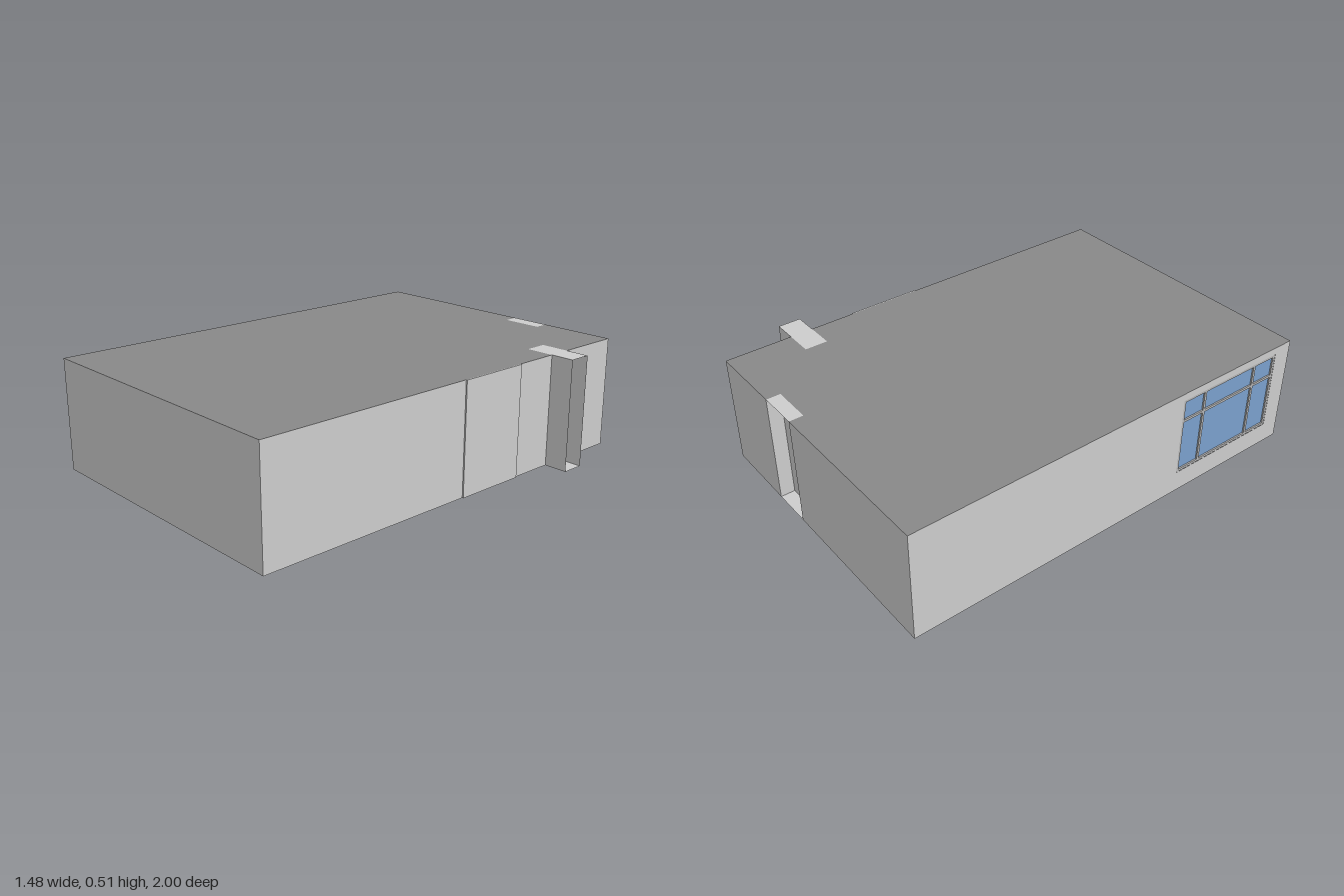
import * as THREE from 'three';

const H = 0.51;                                  // storey height
const W = -0.74, E = 0.63, N = -1, S = 1;        // outer wall lines
const BAY = { x0: 0.5, x1: 0.74, z0: -0.69, z1: -0.585 };
const NICHE = { x0: 0.085, x1: 0.272, z0: -1, z1: -0.935 };
const WIN = { z0: 0.35, z1: 0.91, y0: 0.1, y1: 0.475 };

const mat = (name, color) => {
  const m = new THREE.MeshStandardMaterial({ color, side: THREE.DoubleSide });
  m.name = name;
  return m;
};

export function createModel() {
  const wallMat = mat('wall light grey', 0xcccccc);
  const roofMat = mat('roof grey', 0x888888);
  const floorMat = mat('floor grey', 0x909090);
  const frameMat = mat('window frame grey', 0xb4b4b4);
  const glassMat = mat('glass blue', 0x7a9fcc);

  const model = new THREE.Group();
  model.name = 'building';
  const add = (name, geometry, material, parent = model) => {
    const mesh = new THREE.Mesh(geometry, material);
    mesh.name = name;
    parent.add(mesh);
    return mesh;
  };
  const polygon = pts => new THREE.Shape(pts.map(p => new THREE.Vector2(...p)));
  const rect = (a0, b0, a1, b1) => polygon([[a0, b0], [a1, b0], [a1, b1], [a0, b1]]);

  // Horizontal slab drawn in x and z
  const slab = (name, shape, y, material) =>
    add(name, new THREE.ShapeGeometry(shape).rotateX(Math.PI / 2).translate(0, y, 0), material);

  // Upright wall between two plan points
  const wall = (name, [ax, az], [bx, bz]) => {
    const g = new THREE.PlaneGeometry(Math.hypot(bx - ax, bz - az), H);
    const mesh = add(name, g, wallMat);
    mesh.rotation.y = Math.atan2(az - bz, bx - ax);
    mesh.position.set((ax + bx) / 2, H / 2, (az + bz) / 2);
  };

  // Roof and floor share a footprint notched around the two recesses
  const footprint = polygon([
    [W, S], [E, S], [E, BAY.z1], [BAY.x0, BAY.z1], [BAY.x0, BAY.z0], [E, BAY.z0], [E, N],
    [NICHE.x1, N], [NICHE.x1, NICHE.z1], [NICHE.x0, NICHE.z1], [NICHE.x0, N], [W, N],
  ]);
  slab('floor', footprint, 0, floorMat);
  slab('roof', footprint, H, roofMat);

  // Plain outer walls, interrupted at the recess openings
  wall('frontWall', [W, S], [E, S]);
  wall('rightWallFront', [E, S], [E, BAY.z1]);
  wall('rightWallBack', [E, BAY.z0], [E, N]);
  wall('backWallRight', [E, N], [NICHE.x1, N]);
  wall('backWallLeft', [NICHE.x0, N], [W, N]);

  // Projecting bay, open at its outer end
  wall('baySideFront', [BAY.x0, BAY.z1], [BAY.x1, BAY.z1]);
  wall('baySideBack', [BAY.x1, BAY.z0], [BAY.x0, BAY.z0]);
  wall('bayInnerEnd', [BAY.x0, BAY.z0], [BAY.x0, BAY.z1]);

  // Back niche, open to the outside
  wall('nicheSideRight', [NICHE.x1, N], [NICHE.x1, NICHE.z1]);
  wall('nicheSideLeft', [NICHE.x0, NICHE.z1], [NICHE.x0, N]);
  wall('nicheInnerEnd', [NICHE.x1, NICHE.z1], [NICHE.x0, NICHE.z1]);

  // Lids and bottoms of both recesses
  for (const [name, r] of [['bay', BAY], ['niche', NICHE]]) {
    const shape = rect(r.x0, r.z0, r.x1, r.z1);
    slab(name + 'Bottom', shape, 0, wallMat);
    slab(name + 'Lid', shape, H, wallMat);
  }

  // Shallow full-height panel on the right wall
  add('wallPanel', new THREE.BoxGeometry(0.006, H, 0.34), wallMat)
    .position.set(E + 0.003, H / 2, -0.205);

  // Window wall, drawn in z and y
  const side = rect(N, 0, S, H);
  side.holes.push(rect(WIN.z0, WIN.y0, WIN.z1, WIN.y1));
  add('windowWall', new THREE.ShapeGeometry(side).rotateY(-Math.PI / 2).translate(W, 0, 0), wallMat);

  // Window: frame, mullions, transom and recessed glass
  const win = new THREE.Group();
  win.name = 'window';
  model.add(win);
  const bar = (name, z0, y0, z1, y1) =>
    add(name, new THREE.BoxGeometry(0.016, y1 - y0, z1 - z0), frameMat, win)
      .position.set(W + 0.009, (y0 + y1) / 2, (z0 + z1) / 2);
  const t = 0.012;
  for (const z of [WIN.z0, 0.474, 0.774, WIN.z1 - t]) bar('windowPost', z, WIN.y0, z + t, WIN.y1);
  for (const y of [WIN.y0, 0.36, WIN.y1 - t]) bar('windowRail', WIN.z0, y, WIN.z1, y + t);
  add('glass', new THREE.BoxGeometry(0.004, WIN.y1 - WIN.y0, WIN.z1 - WIN.z0), glassMat, win)
    .position.set(W + 0.01, (WIN.y0 + WIN.y1) / 2, (WIN.z0 + WIN.z1) / 2);

  return model;
}
